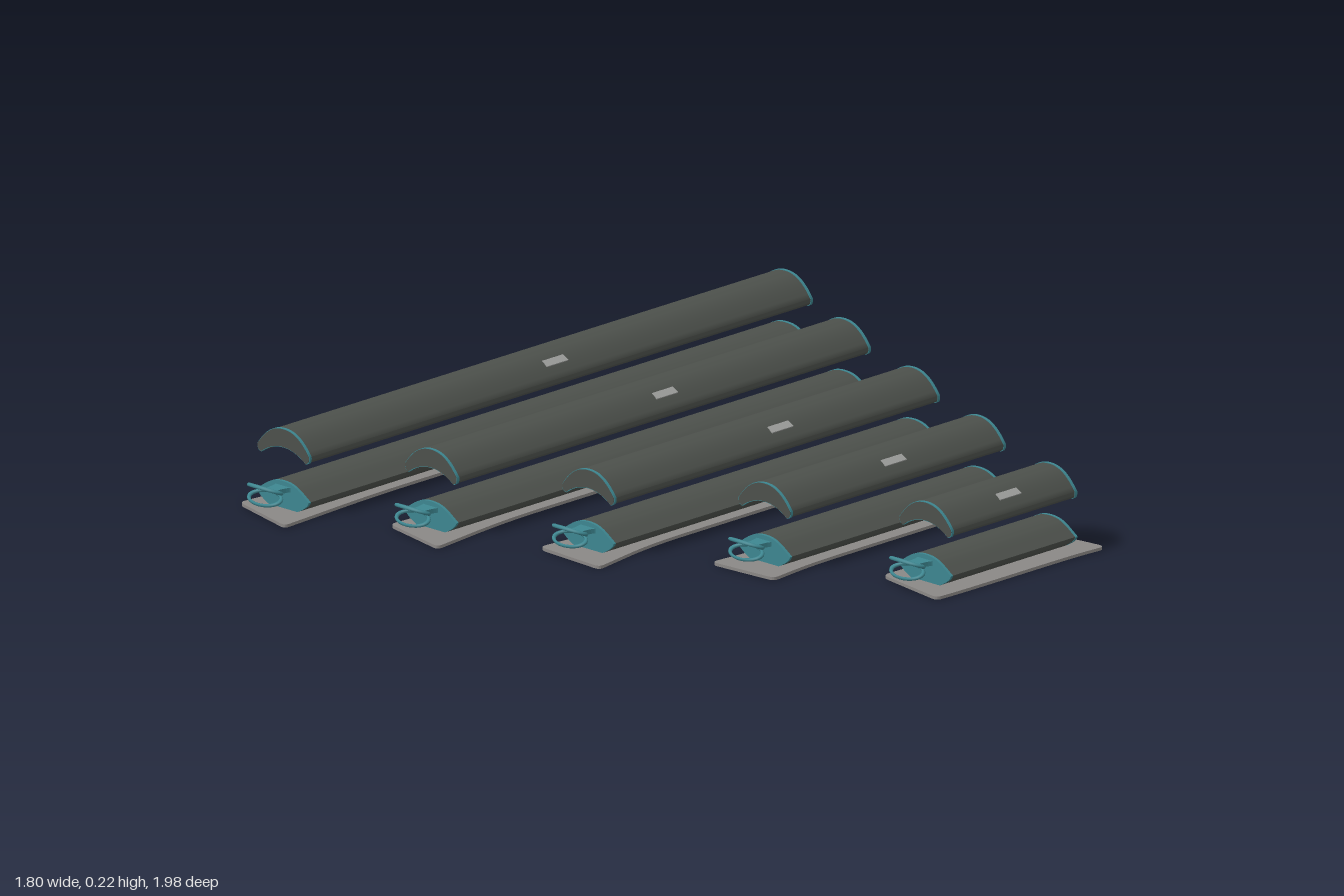
import * as THREE from 'three';
import { toCreasedNormals } from 'three/addons/utils/BufferGeometryUtils.js';

const mat = (name, color) => {
  const m = new THREE.MeshStandardMaterial({ color });
  m.name = name;
  return m;
};
const dark = mat('charcoal', 0x4c504b);
const teal = mat('teal', 0x3d8690);
const grey = mat('base grey', 0x8a8785);
const pale = mat('pale tag', 0x9c9d9b);

// Each unit: centre x, back and front z of its body, half width of the base at
// its waist, and base corners (x offset, z) from back left round to front left
const units = [
  { x: -0.78, z0: -0.905, z1: 0.89, waist: 0.078, corners: [-0.125, -0.92, 0.09, -1.0, 0.098, 0.99, -0.115, 0.93] },
  { x: -0.402, z0: -0.72, z1: 0.755, waist: 0.08, corners: [-0.118, -0.725, 0.112, -0.79, 0.112, 0.85, -0.1, 0.8] },
  { x: -0.005, z0: -0.555, z1: 0.605, waist: 0.08, corners: [-0.11, -0.58, 0.108, -0.625, 0.118, 0.69, -0.102, 0.675] },
  { x: 0.385, z0: -0.385, z1: 0.38, waist: 0.085, corners: [-0.118, -0.4, 0.108, -0.46, 0.103, 0.455, -0.1, 0.468] },
  { x: 0.78, z0: -0.23, z1: 0.215, waist: 0.112, corners: [-0.11, -0.245, 0.12, -0.3, 0.108, 0.29, -0.115, 0.25] },
];

// Base outline: four tight corners, a bowed back edge and sides drawn in to the waist
function baseShape([blx, blz, brx, brz, frx, frz, flx, flz], waist) {
  const taper = 0.17 * (frz - brz);
  const points = [
    [blx, blz, 0.02],
    [(blx + brx) / 2, (blz + brz) / 2 - 0.015, 0.06],
    [brx, brz, 0.02],
    [waist, brz + taper, 0.12],
    [waist, frz - taper, 0.12],
    [frx, frz, 0.02],
    [flx, flz, 0.02],
    [-waist, flz - taper, 0.12],
    [-waist, blz + taper, 0.12],
  ];
  const s = new THREE.Shape();
  const p = points.map(([x, z]) => new THREE.Vector2(x, -z));
  p.forEach((c, i) => {
    const toward = (q) => {
      const d = c.distanceTo(q);
      return c.clone().lerp(q, Math.min(points[i][2], d * 0.45) / d);
    };
    const a = toward(p[(i + p.length - 1) % p.length]);
    const b = toward(p[(i + 1) % p.length]);
    if (i === 0) s.moveTo(a.x, a.y);
    else s.lineTo(a.x, a.y);
    s.quadraticCurveTo(c.x, c.y, b.x, b.y);
  });
  s.closePath();
  return s;
}

// Arched section of the raised cover; g grows it outward
function coverShape(g = 0) {
  const s = new THREE.Shape();
  s.moveTo(-0.088 - g, 0.16);
  s.bezierCurveTo(-0.06 - g, 0.198 + g, -0.035, 0.214 + g, 0, 0.214 + g);
  s.bezierCurveTo(0.035, 0.214 + g, 0.06 + g, 0.198 + g, 0.088 + g, 0.16);
  s.quadraticCurveTo(0.09 + g, 0.142 - g, 0.076, 0.141 - g);
  s.quadraticCurveTo(0.04, 0.168 - g, 0, 0.168 - g);
  s.quadraticCurveTo(-0.04, 0.168 - g, -0.076, 0.141 - g);
  s.quadraticCurveTo(-0.09 - g, 0.142 - g, -0.088 - g, 0.16);
  return s;
}

// Domed section of the lower body; g grows it outward
function bodyShape(g = 0) {
  const s = new THREE.Shape();
  s.moveTo(-0.088 - g, 0.042);
  s.bezierCurveTo(-0.055, 0.064 + g, -0.04, 0.079 + g, 0, 0.079 + g);
  s.bezierCurveTo(0.04, 0.079 + g, 0.055, 0.064 + g, 0.088 + g, 0.042);
  s.quadraticCurveTo(0.085 + g, 0.028, 0.05, 0.01);
  s.lineTo(-0.05, 0.01);
  s.quadraticCurveTo(-0.085 - g, 0.028, -0.088 - g, 0.042);
  return s;
}

function sweep(shape, z0, z1) {
  const geo = new THREE.ExtrudeGeometry(shape, { depth: z1 - z0, bevelEnabled: false, curveSegments: 10 });
  geo.translate(0, 0, z0);
  return toCreasedNormals(geo, 0.6);
}

function add(parent, name, geo, material) {
  const m = new THREE.Mesh(geo, material);
  m.name = name;
  parent.add(m);
}

// Flared stem with two oval loops opening up and down
function pullHandle() {
  const g = new THREE.Group();
  g.name = 'pullHandle';
  const s = new THREE.Shape();
  s.moveTo(-0.032, 0.005);
  s.quadraticCurveTo(-0.018, -0.01, -0.018, -0.045);
  s.lineTo(0.018, -0.045);
  s.quadraticCurveTo(0.018, -0.01, 0.032, 0.005);
  const stem = new THREE.ExtrudeGeometry(s, { depth: 0.012, bevelEnabled: false, curveSegments: 6 });
  stem.rotateX(-Math.PI / 2).translate(0, 0.056, 0);
  add(g, 'handleStem', stem, teal);
  for (const side of [1, -1]) {
    const loop = new THREE.TorusGeometry(0.05, 0.006, 8, 28);
    loop.rotateX(Math.PI / 2).scale(1, 0.8, 0.56);
    loop.translate(0, 0, 0.03).rotateX(-side * 0.4).translate(0, 0.062, 0.04);
    add(g, side > 0 ? 'upperLoop' : 'lowerLoop', loop, teal);
  }
  return g;
}

// Small plain patch lying on the right-hand slope of the cover
function tagGeometry() {
  const geo = new THREE.BoxGeometry(0.028, 0.003, 0.075);
  geo.rotateZ(-0.5).translate(0.053, 0.196, -0.02);
  return geo;
}

export function createModel() {
  const root = new THREE.Group();
  root.name = 'coverSet';
  units.forEach(({ x, z0, z1, waist, corners }, i) => {
    const unit = new THREE.Group();
    unit.name = `unit${i + 1}`;
    unit.position.x = x;
    root.add(unit);

    // Thin base sheet
    const sheet = new THREE.ExtrudeGeometry(baseShape(corners, waist), { depth: 0.008, bevelEnabled: false, curveSegments: 6 });
    sheet.rotateX(-Math.PI / 2);
    add(unit, 'baseSheet', sheet, grey);

    // Lower body with teal end caps
    add(unit, 'lowerBody', sweep(bodyShape(), z0 + 0.004, z1 - 0.004), dark);
    add(unit, 'backCap', sweep(bodyShape(0.001), z0 - 0.004, z0 + 0.004), teal);
    add(unit, 'frontCap', sweep(bodyShape(0.001), z1 - 0.004, z1 + 0.004), teal);

    // Raised cover with a thin teal rim near each end
    add(unit, 'cover', sweep(coverShape(), z0 - 0.003, z1 + 0.003), dark);
    add(unit, 'backRim', sweep(coverShape(0.0015), z0 - 0.002, z0 + 0.006), teal);
    add(unit, 'frontRim', sweep(coverShape(0.0015), z1 - 0.006, z1 + 0.002), teal);
    add(unit, 'tag', tagGeometry(), pale);

    const handle = pullHandle();
    handle.position.z = z1;
    unit.add(handle);
  });
  return root;
}
